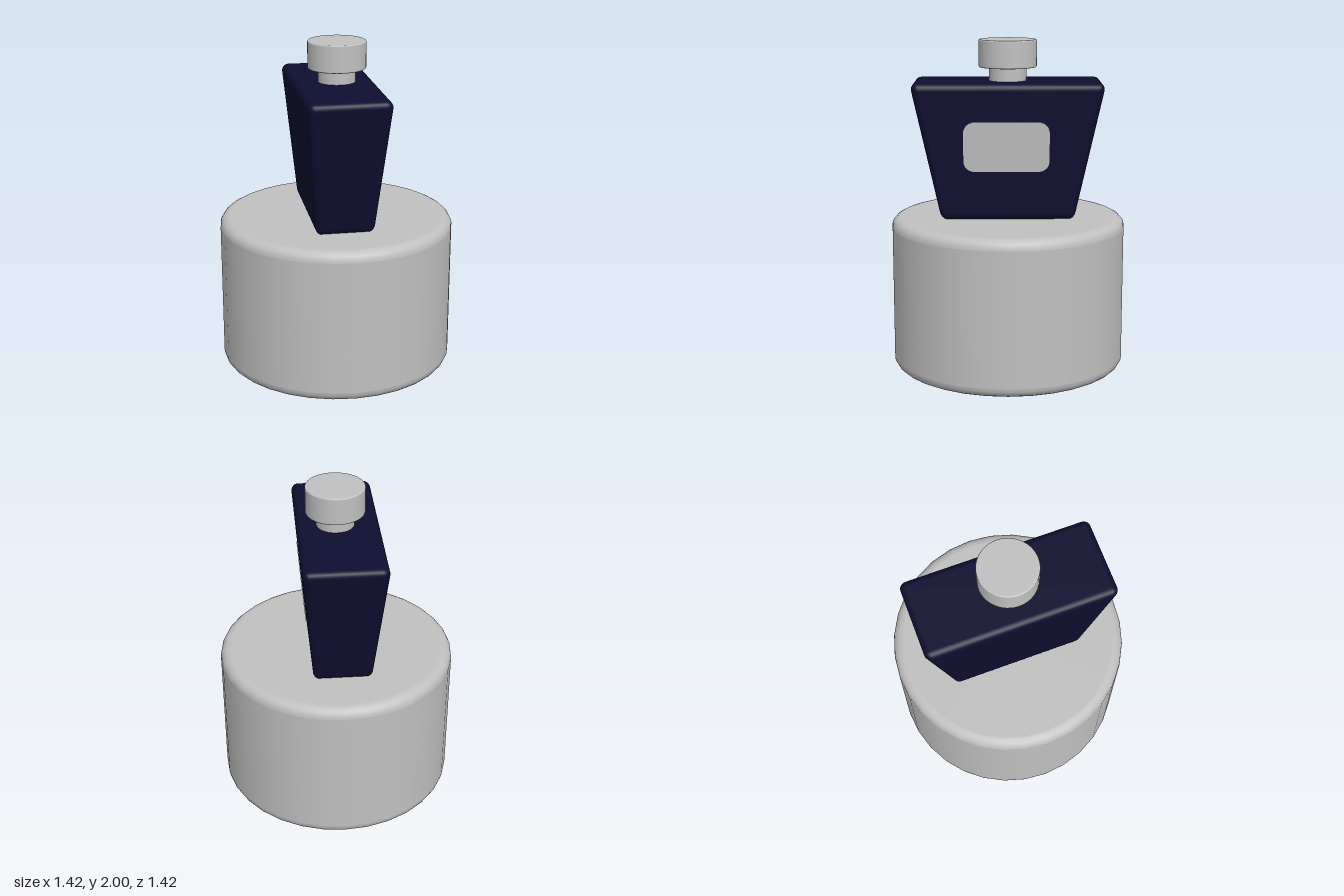
import * as THREE from 'three';
import { RoundedBoxGeometry } from 'three/addons/geometries/RoundedBoxGeometry.js';
import { mergeVertices } from 'three/addons/utils/BufferGeometryUtils.js';

// Closed cylinder with rounded rims; support points keep the flats flat
function roundedCylinder(radius, y0, y1, bevel, sides) {
  const pts = [new THREE.Vector2(0, y0), new THREE.Vector2(radius - bevel - 0.002, y0)];
  const steps = 5;
  const arc = (cy, start) => {
    for (let i = 0; i <= steps; i++) {
      const a = start + (i / steps) * Math.PI / 2;
      pts.push(new THREE.Vector2(radius - bevel + Math.cos(a) * bevel, cy + Math.sin(a) * bevel));
    }
  };
  arc(y0 + bevel, -Math.PI / 2);
  pts.push(new THREE.Vector2(radius, y0 + bevel + 0.002), new THREE.Vector2(radius, y1 - bevel - 0.002));
  arc(y1 - bevel, 0);
  pts.push(new THREE.Vector2(radius - bevel - 0.002, y1), new THREE.Vector2(0, y1));
  return new THREE.LatheGeometry(pts, sides);
}

// Rounded box that narrows towards the bottom
function taperedBox(topX, topZ, bottomX, bottomZ, height, radius) {
  let geo = new RoundedBoxGeometry(topX, height, topZ, 4, radius);
  const p = geo.attributes.position;
  for (let i = 0; i < p.count; i++) {
    const t = p.getY(i) / height + 0.5;
    p.setX(i, p.getX(i) * THREE.MathUtils.lerp(bottomX / topX, 1, t));
    p.setZ(i, p.getZ(i) * THREE.MathUtils.lerp(bottomZ / topZ, 1, t));
  }
  geo.deleteAttribute('normal');
  geo.deleteAttribute('uv');
  geo = mergeVertices(geo, 1e-4);
  geo.computeVertexNormals();
  return geo;
}

function roundedRect(w, h, r) {
  const s = new THREE.Shape();
  const x = w / 2, y = h / 2;
  s.moveTo(-x + r, -y);
  s.lineTo(x - r, -y);
  s.absarc(x - r, -y + r, r, -Math.PI / 2, 0);
  s.absarc(x - r, y - r, r, 0, Math.PI / 2);
  s.absarc(-x + r, y - r, r, Math.PI / 2, Math.PI);
  s.absarc(-x + r, -y + r, r, Math.PI, Math.PI * 1.5);
  return s;
}

export function createModel() {
  const silver = new THREE.MeshStandardMaterial({ name: 'silver grey', color: 0xc0c0c0 });
  const navy = new THREE.MeshStandardMaterial({ name: 'navy blue', color: 0x0e0e30 });
  const model = new THREE.Group();
  model.name = 'bottleOnPedestal';
  const add = (name, geo, mat, x = 0, y = 0, z = 0) => {
    const mesh = new THREE.Mesh(geo, mat);
    mesh.name = name;
    mesh.position.set(x, y, z);
    model.add(mesh);
    return mesh;
  };

  // Round pedestal
  add('pedestal', roundedCylinder(0.71, 0, 0.932, 0.06, 32), silver);

  // Flask, wider at the shoulders
  const bottom = 0.932, top = 1.755, topX = 0.494, bottomX = 0.346;
  add('flask', taperedBox(topX, 1.152, bottomX, 0.798, top - bottom, 0.045), navy, -0.011, (top + bottom) / 2, 0.002);

  // Neck and cap
  add('neck', new THREE.CylinderGeometry(0.112, 0.112, 0.12, 32), silver, 0.004, 1.79, 0.002);
  add('cap', roundedCylinder(0.174, 1.835, 2, 0.008, 48), silver, 0.005, 0, 0.002);

  // Label plate lying on the sloping left face
  const labelGeo = new THREE.ExtrudeGeometry(roundedRect(0.51, 0.3, 0.065), { depth: 0.008, bevelEnabled: false, curveSegments: 6 });
  labelGeo.rotateY(Math.PI / 2);
  const labelY = 1.38;
  const faceX = -0.011 + THREE.MathUtils.lerp(bottomX, topX, (labelY - bottom) / (top - bottom)) / 2;
  const label = add('label', labelGeo, silver, faceX - 0.002, labelY, 0.01);
  label.rotation.z = -Math.atan((topX - bottomX) / 2 / (top - bottom));

  return model;
}
